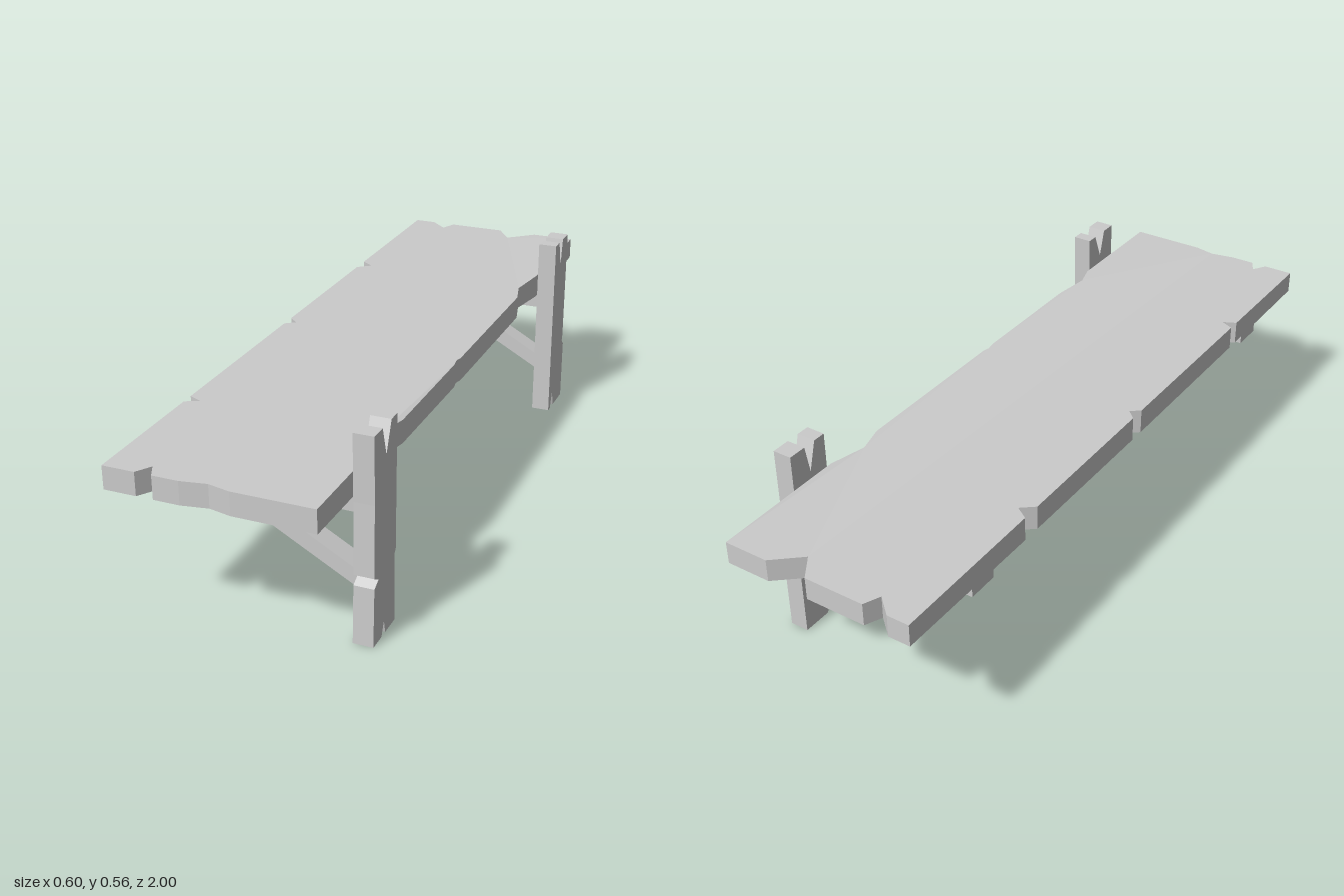
import * as THREE from 'three';

const material = new THREE.MeshStandardMaterial({ color: 0xcccccc, flatShading: true });

// Straight extrusion of an outline along +z
function extrude(points, depth) {
  const shape = new THREE.Shape(points.map(([a, b]) => new THREE.Vector2(a, b)));
  return new THREE.ExtrudeGeometry(shape, { depth, bevelEnabled: false });
}
// Outline in (x, z), thickened upwards from y0 to y1
const slab = (points, y0, y1) =>
  extrude(points.map(([x, z]) => [x, -z]), y1 - y0).rotateX(-Math.PI / 2).translate(0, y0, 0);
// Outline in (z, y), thickened from x0 to x1
const upright = (points, x0, x1) =>
  extrude(points.map(([z, y]) => [-z, y]), x1 - x0).rotateY(Math.PI / 2).translate(x0, 0, 0);

function add(parent, name, geometry) {
  const mesh = new THREE.Mesh(geometry, material);
  mesh.name = name;
  parent.add(mesh);
  return mesh;
}

// Chipped plank outline, seen from above
const plankOutline = [
  [-0.302, -1], [-0.24, -1], [-0.19, -0.955], [-0.17, -1], [0, -1], [0.045, -0.935], [0.12, -1], [0.246, -1],
  [0.246, -0.61], [0.225, -0.5], [0.246, -0.42], [0.246, 0.08], [0.241, 0.1], [0.246, 0.13],
  [0.246, 0.5], [0.228, 0.6], [0.246, 0.66], [0.246, 1],
  [0.03, 1], [-0.03, 0.987], [-0.1, 1], [-0.17, 1], [-0.19, 0.96], [-0.215, 1], [-0.302, 1],
  [-0.302, 0.62], [-0.265, 0.602], [-0.302, 0.585], [-0.302, 0.045], [-0.275, 0.025], [-0.302, 0],
  [-0.302, -0.475], [-0.265, -0.505], [-0.302, -0.53],
];

// Post outlines with split tops and nicked edges, in (z, y)
const frontPost = [
  [0.823, 0], [0.773, 0], [0.757, 0.037], [0.749, 0], [0.69, 0], [0.69, 0.187], [0.682, 0.2], [0.674, 0.557],
  [0.709, 0.557], [0.74, 0.48], [0.762, 0.557], [0.81, 0.557], [0.81, 0.38], [0.815, 0.187],
  [0.789, 0.172], [0.815, 0.158],
];
const backPost = [
  [-0.625, 0], [-0.644, 0], [-0.66, 0.053], [-0.676, 0], [-0.762, 0], [-0.762, 0.182], [-0.746, 0.198],
  [-0.751, 0.215], [-0.751, 0.557], [-0.698, 0.557], [-0.684, 0.476], [-0.66, 0.557], [-0.623, 0.557],
];

function createBracket(name, postOutline, zc) {
  const bracket = new THREE.Group();
  bracket.name = name;
  add(bracket, 'post', upright(postOutline, 0.248, 0.302));

  // Arm under the plank, nicked on both sides
  const w = 0.045;
  add(bracket, 'arm', slab([
    [-0.285, zc - w], [0.025, zc - w], [0.043, zc - w + 0.012], [0.052, zc - w], [0.248, zc - w],
    [0.248, zc + w], [0.052, zc + w], [0.043, zc + w - 0.012], [0.025, zc + w], [-0.285, zc + w],
  ], 0.342, 0.393));

  // Diagonal brace
  const b = 0.03;
  add(bracket, 'brace', extrude(
    [[-0.15, 0.342], [0.248, 0.124], [0.248, 0.172], [-0.06, 0.342]], 2 * b).translate(0, 0, zc - b));

  // Bolt heads
  const bolt = () => new THREE.CylinderGeometry(0.012, 0.012, 0.01, 8);
  for (const x of [-0.225, 0.197]) add(bracket, 'armBolt', bolt().translate(x, 0.34, zc));
  add(bracket, 'postBolt', bolt().rotateZ(Math.PI / 2).translate(0.25, 0.082, zc));
  return bracket;
}

export function createModel() {
  const group = new THREE.Group();
  group.name = 'plankShelf';

  // Plank with a slightly sagging underside and a worn wall-side edge
  const plank = slab(plankOutline, 0.394, 0.457);
  const p = plank.attributes.position;
  for (let i = 0; i < p.count; i++) {
    const x = p.getX(i), y = p.getY(i), z = p.getZ(i);
    if (y < 0.42) p.setY(i, y - 0.008 * (1 - z * z));
    else if (x > 0.2 && Math.abs(z) < 0.55) p.setY(i, y - 0.005);
  }
  plank.computeVertexNormals();
  add(group, 'plank', plank);

  group.add(createBracket('frontBracket', frontPost, 0.745));
  group.add(createBracket('backBracket', backPost, -0.69));
  return group;
}
